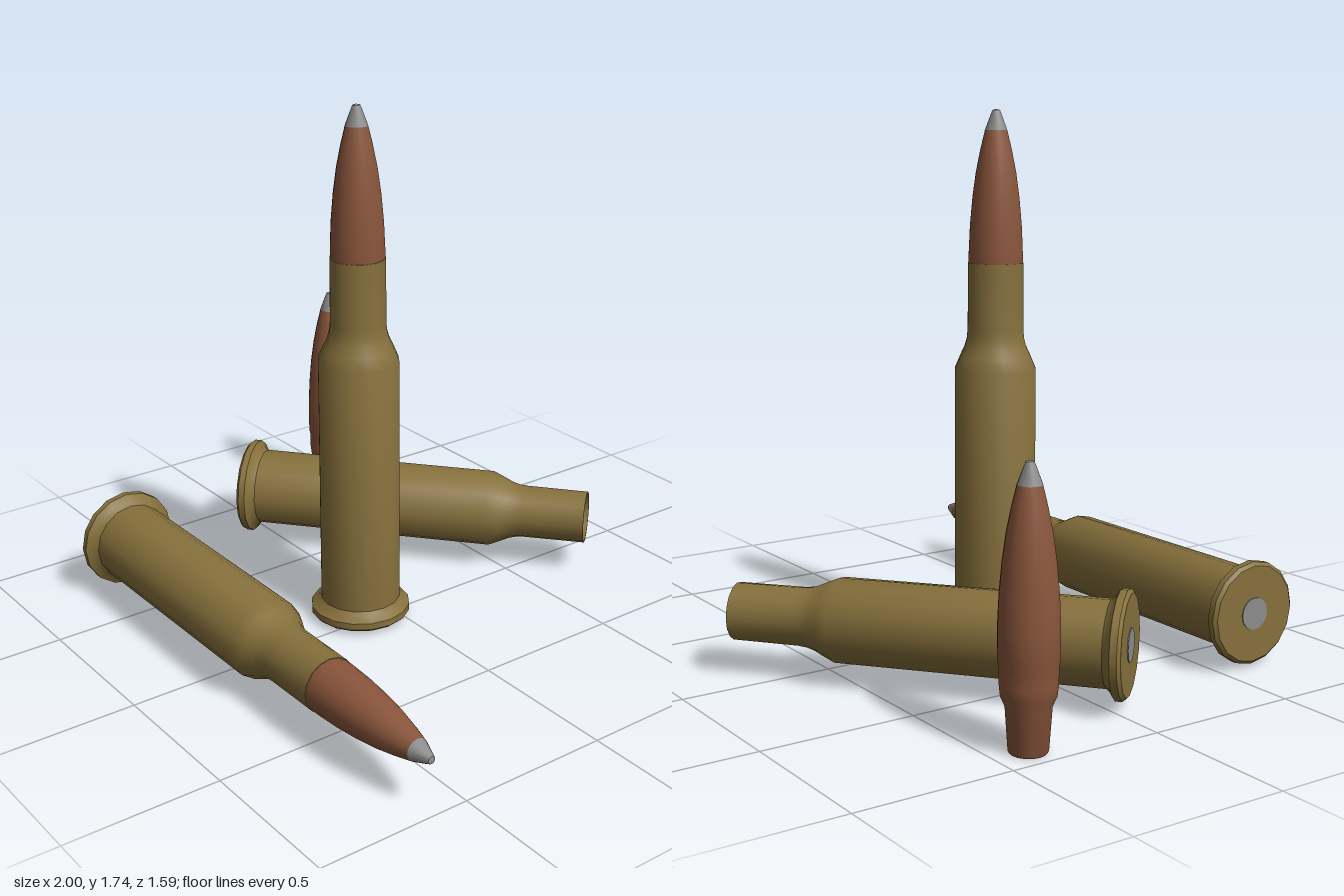
import * as THREE from 'three';
import { toCreasedNormals } from 'three/addons/utils/BufferGeometryUtils.js';

const SIDES = 16;
const CASE_LENGTH = 1.245;

const material = (name, color) => {
  const m = new THREE.MeshStandardMaterial({ color });
  m.name = name;
  return m;
};

export function createModel() {
  const brass = material('brass', 0x86703c);
  const copper = material('copper', 0x8a563c);
  const grey = material('grey', 0x8c8c8c);

  // Turned part from [radius, height] pairs, listed from bottom to top
  const turn = (name, mat, points) => {
    const geo = new THREE.LatheGeometry(points.map(([r, y]) => new THREE.Vector2(r, y)), SIDES);
    const mesh = new THREE.Mesh(toCreasedNormals(geo, 0.55), mat);
    mesh.name = name;
    return mesh;
  };

  // Bottle-necked case with rim, hollow inside, and a primer in its base
  const makeCase = () => {
    const group = new THREE.Group();
    group.name = 'case';
    const shell = turn('caseShell', brass, [
      [0, 0], [0.155, 0], [0.166, 0.01], [0.166, 0.032], [0.145, 0.045], [0.133, 0.06],
      [0.132, 0.905], [0.115, 0.945], [0.101, 0.975], [0.094, 1.0], [0.091, 1.03],
      [0.09, CASE_LENGTH], [0.084, CASE_LENGTH],
      [0.084, 1.03], [0.095, 0.97], [0.122, 0.9], [0.12, 0.1], [0, 0.1],
    ]);
    const primer = new THREE.Mesh(new THREE.CylinderGeometry(0.052, 0.052, 0.006, SIDES), grey);
    primer.name = 'primer';
    group.add(shell, primer);
    return group;
  };

  // Boat-tailed bullet with a curved nose and a grey tip
  const makeBullet = () => {
    const group = new THREE.Group();
    group.name = 'bullet';
    group.add(
      turn('bulletJacket', copper, [
        [0, 0], [0.054, 0], [0.058, 0.008], [0.067, 0.135], [0.08, 0.165], [0.084, 0.2],
        [0.084, 0.25], [0.088, 0.265], [0.088, 0.36], [0.084, 0.45], [0.076, 0.54],
        [0.065, 0.62], [0.051, 0.69], [0.036, 0.752],
      ]),
      turn('bulletTip', grey, [[0.036, 0.752], [0.017, 0.803], [0.012, 0.815], [0, 0.818]]),
    );
    return group;
  };

  // Complete round: the bullet seated in the case neck
  const makeCartridge = (name) => {
    const group = new THREE.Group();
    group.name = name;
    const bullet = makeBullet();
    bullet.position.y = 0.912;
    group.add(makeCase(), bullet);
    return group;
  };

  const model = new THREE.Group();
  model.name = 'ammunition';

  const standing = makeCartridge('standingCartridge');
  standing.position.set(-0.055, 0.015, 0.1);

  const lying = makeCartridge('lyingCartridge');
  lying.rotation.z = -Math.PI / 2;
  lying.position.set(-0.735, 0.18, 0.62);

  // Empty case lying on its side, turned 40 degrees towards the back
  const empty = makeCase();
  empty.name = 'emptyCase';
  empty.rotation.set(0, THREE.MathUtils.degToRad(40), -Math.PI / 2, 'YXZ');
  empty.position.set(-0.8, 0.195, 0.064);

  const loose = makeBullet();
  loose.name = 'looseBullet';
  loose.position.set(-0.913, 0.003, -0.388);

  model.add(standing, lying, empty, loose);
  return model;
}
